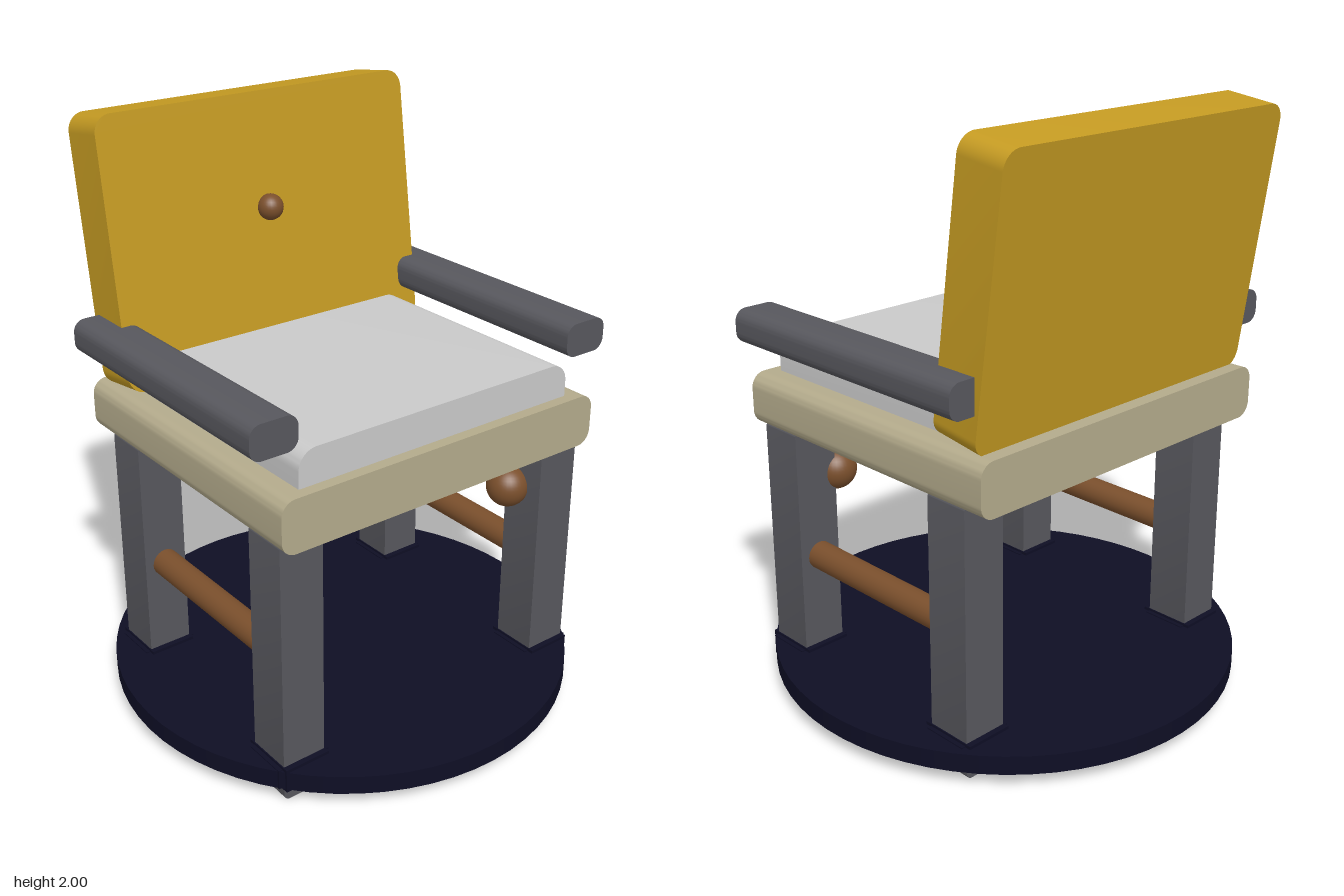
import * as THREE from 'three';
import { toCreasedNormals } from 'three/addons/utils/BufferGeometryUtils.js';

function material(name, color) {
  const m = new THREE.MeshStandardMaterial({ color });
  m.name = name;
  return m;
}

// Rectangle in x/y with rounded top and bottom corners, extruded along z and centred
function slab(w, h, d, rTop, rBottom = rTop) {
  const x = w / 2, y = h / 2, s = new THREE.Shape();
  s.moveTo(-x + rBottom, -y);
  s.lineTo(x - rBottom, -y);
  if (rBottom) s.absarc(x - rBottom, -y + rBottom, rBottom, -Math.PI / 2, 0);
  s.lineTo(x, y - rTop);
  s.absarc(x - rTop, y - rTop, rTop, 0, Math.PI / 2);
  s.lineTo(-x + rTop, y);
  s.absarc(-x + rTop, y - rTop, rTop, Math.PI / 2, Math.PI);
  s.lineTo(-x, -y + rBottom);
  if (rBottom) s.absarc(-x + rBottom, -y + rBottom, rBottom, Math.PI, Math.PI * 1.5);
  const g = new THREE.ExtrudeGeometry(s, { depth: d, bevelEnabled: false, curveSegments: 6 });
  g.translate(0, 0, -d / 2);
  return toCreasedNormals(g, 0.6);
}

export function createModel() {
  const group = new THREE.Group();
  group.name = 'armchair';

  const gold = material('gold', 0xc49a22);
  const cushionGrey = material('light grey', 0xc9c9c9);
  const beige = material('beige', 0xb3aa8b);
  const slate = material('slate grey', 0x57575d);
  const brown = material('brown', 0x7a4f2c);
  const navy = material('navy', 0x0e0e24);

  const add = (name, geometry, mat, x, y, z) => {
    const mesh = new THREE.Mesh(geometry, mat);
    mesh.name = name;
    mesh.position.set(x, y, z);
    group.add(mesh);
    return mesh;
  };

  // Round base plate, slightly longer front to back
  add('basePlate', new THREE.CylinderGeometry(0.8, 0.8, 0.065, 64), navy, 0, 0.093, 0).scale.z = 1.021;

  // Seat and cushion
  add('seat', slab(1.26, 0.18, 1.1, 0.05), beige, 0, 1.005, 0);
  add('cushion', slab(1.08, 0.125, 0.9, 0.065, 0), cushionGrey, 0, 1.153, 0.06);

  // Leaning backrest with a button
  add('backrest', slab(1.22, 0.904, 0.177, 0.06), gold, 0, 1.546, -0.475).rotation.x = -0.139;
  add('backButton', new THREE.SphereGeometry(0.045, 24, 16), brown, 0, 1.625, -0.385);

  // Legs with cross-shaped collars where they pass through the base
  const legGeometry = slab(0.157, 0.93, 0.16, 0.022);
  const collarX = new THREE.BoxGeometry(0.195, 0.07, 0.157);
  const collarZ = new THREE.BoxGeometry(0.165, 0.084, 0.2);
  const railGeometry = new THREE.CylinderGeometry(0.048, 0.048, 0.72, 24).rotateX(Math.PI / 2);
  const armGeometry = slab(0.168, 0.115, 1.015, 0.04);

  for (const side of [-1, 1]) {
    const name = side > 0 ? 'left' : 'right';
    for (const z of [0.43, -0.38]) {
      const end = z > 0 ? 'Front' : 'Back';
      add(name + end + 'Leg', legGeometry, slate, side * 0.533, 0.47, z);
      add(name + end + 'CollarAcross', collarX, navy, side * 0.533, 0.094, z);
      add(name + end + 'CollarAlong', collarZ, navy, side * 0.533, 0.094, z);
    }
    // Side rail between the legs, and armrest
    add(name + 'Rail', railGeometry, brown, side * 0.533, 0.468, 0.025);
    add(name + 'Armrest', armGeometry, slate, side * 0.621, 1.282, 0.002);
  }

  // Knob on the inside of the left front leg
  add('legKnob', new THREE.SphereGeometry(0.073, 32, 20), brown, 0.425, 0.748, 0.386);

  return group;
}
